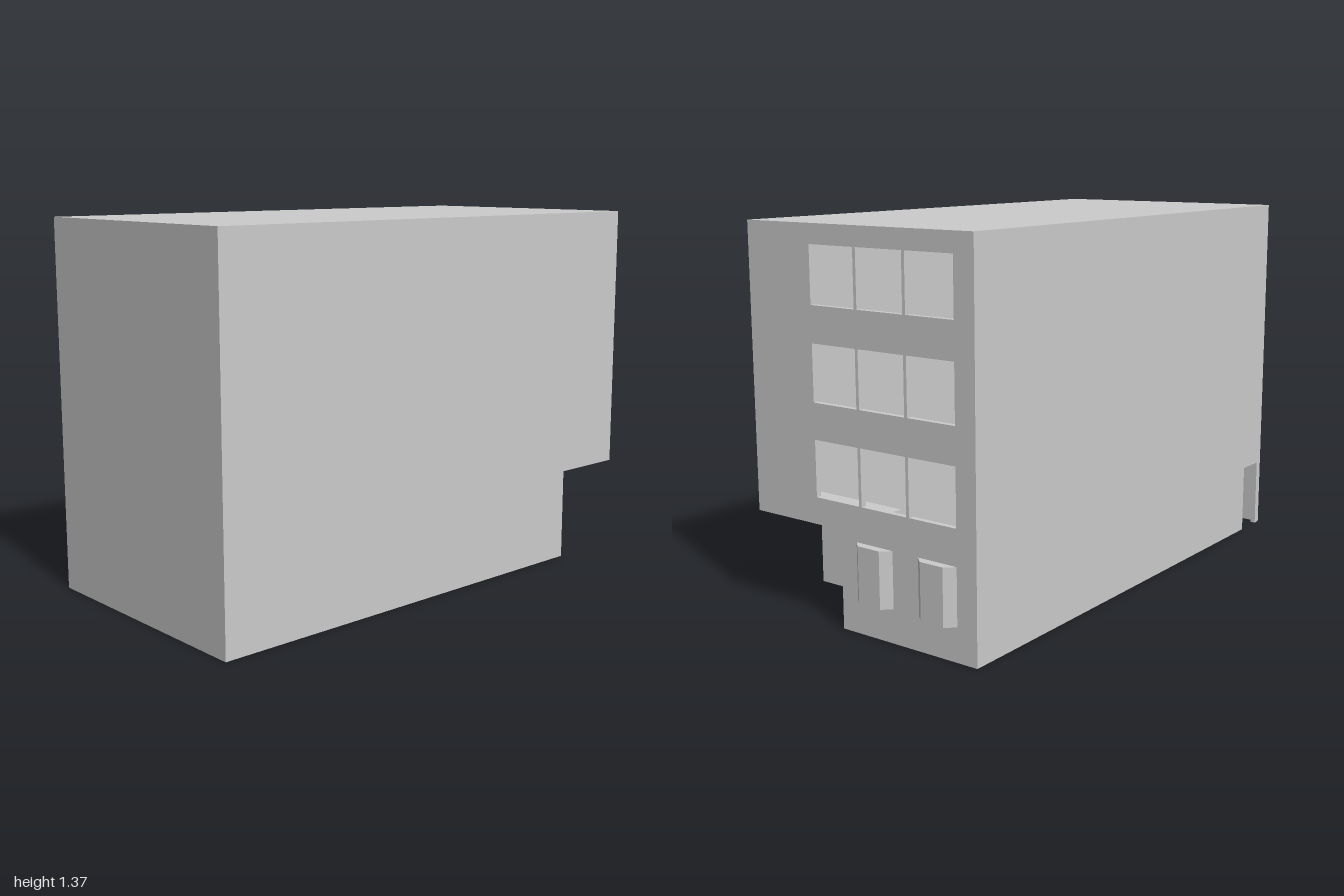
import * as THREE from 'three';
import { mergeGeometries } from 'three/addons/utils/BufferGeometryUtils.js';

const material = new THREE.MeshStandardMaterial({ color: 0xcccccc, side: THREE.DoubleSide, flatShading: true });
const X = 0.49, TOP = 1.37, FRONT = 1, BACK = -0.97; // outer shell
const PX = 0.09, PZ = -0.67, PY = 0.35;              // corner porch
const REVEAL = 0.02, DOOR = 0.27;

const toPoints = (list) => list.map(([x, y]) => new THREE.Vector2(x, y));

// Thin lining running inward along a path of points in the wall plane
function lining(points) {
  const parts = [];
  for (let i = 0; i < points.length - 1; i++) {
    const [ax, ay] = points[i], [bx, by] = points[i + 1];
    const g = new THREE.PlaneGeometry(Math.hypot(bx - ax, by - ay), REVEAL);
    g.rotateX(Math.PI / 2);
    g.rotateZ(Math.atan2(by - ay, bx - ax));
    g.translate((ax + bx) / 2, (ay + by) / 2, -REVEAL / 2);
    parts.push(g);
  }
  return mergeGeometries(parts);
}

// Flat wall in its own x/y plane, facing local +z, with window holes and lined openings
function wall(name, outline, { windows = [], door = null } = {}) {
  const group = new THREE.Group();
  group.name = name;
  const shape = new THREE.Shape(toPoints(outline));
  const add = (geometry, part) => {
    const mesh = new THREE.Mesh(geometry, material);
    mesh.name = part;
    group.add(mesh);
  };
  for (const [x0, y0, x1, y1] of windows) {
    const ring = [[x0, y0], [x0, y1], [x1, y1], [x1, y0], [x0, y0]];
    shape.holes.push(new THREE.Path(toPoints(ring.slice(0, 4))));
    add(lining(ring), 'windowReveal');
  }
  if (door) add(lining(door), 'doorReveal');
  add(new THREE.ShapeGeometry(shape), 'wallFace');
  return group;
}

function place(object, x, y, z, turn = 0) {
  object.position.set(x, y, z);
  object.rotation.y = turn;
  return object;
}

const doorway = (a, b) => [[a, 0], [a, DOOR], [b, DOOR], [b, 0]];
const rect = (a, b, h) => [[a, 0], [b, 0], [b, h], [a, h]];

function slab(name, x0, x1, z0, z1, y, facing) {
  const mesh = new THREE.Mesh(new THREE.PlaneGeometry(x1 - x0, z1 - z0).rotateX(-facing * Math.PI / 2), material);
  mesh.name = name;
  mesh.position.set((x0 + x1) / 2, y, (z0 + z1) / 2);
  return mesh;
}

export function createModel() {
  const model = new THREE.Group();
  model.name = 'building';

  // Front wall and roof
  model.add(place(wall('frontWall', rect(-X, X, TOP)), 0, 0, FRONT));
  model.add(slab('roof', -X, X, BACK, FRONT, TOP, 1));

  // Side wall above and beside the porch
  model.add(place(wall('leftWall', [
    [-FRONT, 0], [-PZ, 0], [-PZ, PY], [-BACK, PY], [-BACK, TOP], [-FRONT, TOP],
  ]), X, 0, 0, Math.PI / 2));

  // Opposite side wall with a doorway near the front corner
  const sideDoor = doorway(0.85, 0.97);
  model.add(place(wall('rightWall', [
    [BACK, 0], ...sideDoor, [FRONT, 0], [FRONT, TOP], [BACK, TOP],
  ], { door: sideDoor }), -X, 0, 0, -Math.PI / 2));

  // Back wall: three storeys of three panes, split by slim mullions
  const windows = [];
  const x0 = -0.2, x1 = 0.41, mullion = 0.012;
  const pane = (x1 - x0 - 2 * mullion) / 3;
  for (let floor = 0; floor < 3; floor++) {
    const sill = 0.445 + floor * 0.328;
    for (let i = 0; i < 3; i++) {
      const left = x0 + i * (pane + mullion);
      windows.push([left, sill, left + pane, sill + 0.2]);
    }
  }
  model.add(place(wall('backWall', [
    [-X, PY], [-PX, PY], [-PX, 0], [X, 0], [X, TOP], [-X, TOP],
  ], { windows }), 0, 0, BACK, Math.PI));

  // Recessed corner porch with its entrance
  const entrance = doorway(-0.37, -0.21);
  model.add(place(wall('porchDoorWall', [
    [-X, 0], ...entrance, [-PX, 0], [-PX, PY], [-X, PY],
  ], { door: entrance }), 0, 0, PZ, Math.PI));
  model.add(place(wall('porchSideWall', rect(-PZ, -BACK, PY)), PX, 0, 0, Math.PI / 2));
  model.add(slab('porchCeiling', PX, X, BACK, PZ, PY, -1));

  // Ground floor bay windows
  const bay = new THREE.ExtrudeGeometry(
    new THREE.Shape(toPoints([[-0.08, 0], [0.08, 0], [0.047, 0.03], [-0.047, 0.03]])),
    { depth: 0.2, bevelEnabled: false },
  ).rotateX(-Math.PI / 2);
  for (const x of [-0.33, -0.06]) {
    const mesh = place(new THREE.Mesh(bay, material), x, 0.12, BACK);
    mesh.name = 'bayWindow';
    model.add(mesh);
  }
  return model;
}
